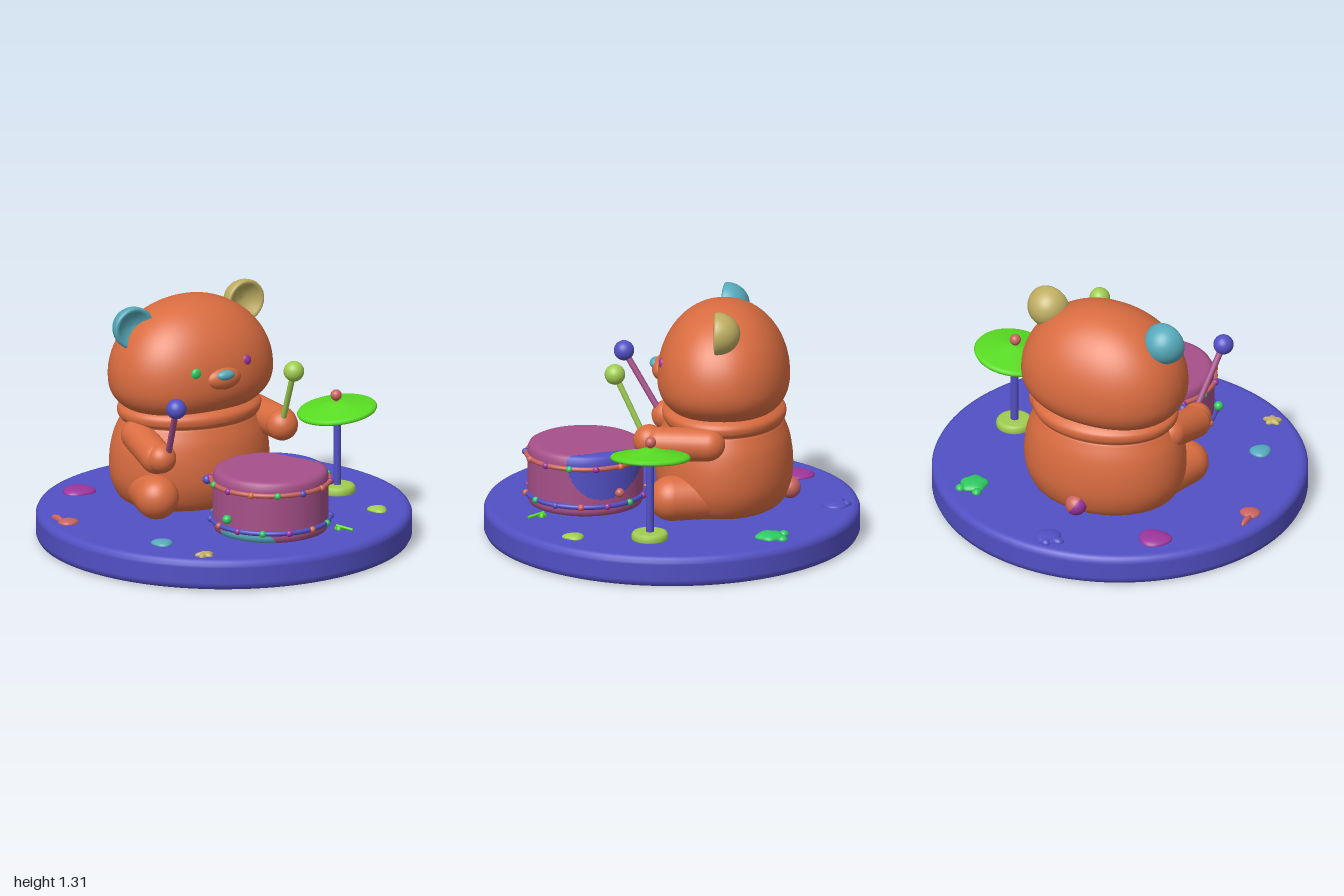
import * as THREE from 'three';

const colours = {
  orange: 0xd96c40, blue: 0x5250c4, plum: 0xa65089, cyan: 0x55a9ba, tan: 0xbfae62,
  leaf: 0x58dc22, emerald: 0x2fc862, magenta: 0x9c359c, coral: 0xc8635e, lime: 0xa0cc50,
};

export function createModel() {
  const model = new THREE.Group();
  const mats = {};
  for (const [name, color] of Object.entries(colours)) {
    mats[name] = new THREE.MeshStandardMaterial({ color });
    mats[name].name = name;
  }
  const V = (x, y, z) => new THREE.Vector3(x, y, z);

  function add(name, geo, mat, pos = [0, 0, 0], parent = model) {
    const m = new THREE.Mesh(geo, Array.isArray(mat) ? mat.map(k => mats[k]) : mats[mat]);
    m.name = name;
    m.position.set(...pos);
    parent.add(m);
    return m;
  }
  const ball = (name, mat, pos, rx, ry = rx, rz = rx, parent = model) =>
    add(name, new THREE.SphereGeometry(1, 28, 18).scale(rx, ry, rz), mat, pos, parent);
  const lathe = (pts, seg = 64) =>
    new THREE.LatheGeometry(pts.map(p => new THREE.Vector2(p[0], p[1])), seg);

  // Cylinder or capsule between two points
  function between(name, mat, a, b, r, round = false) {
    const len = a.distanceTo(b);
    const geo = round ? new THREE.CapsuleGeometry(r, len, 12, 28) : new THREE.CylinderGeometry(r, r, len, 16);
    const m = add(name, geo, mat);
    m.position.copy(a).lerp(b, 0.5);
    m.quaternion.setFromUnitVectors(V(0, 1, 0), b.clone().sub(a).normalize());
    return m;
  }

  // Round stage
  add('stage', lathe([[0, 0], [0.955, 0], [0.97, 0], [0.99, 0.008], [1, 0.028], [1, 0.04], [1, 0.125],
    [1, 0.137], [0.99, 0.157], [0.97, 0.165], [0.955, 0.165], [0, 0.165]], 96), 'blue');

  // Torso with a collar fold under the head
  const profile = new THREE.SplineCurve([[0.33, 0.16], [0.395, 0.2], [0.44, 0.3], [0.445, 0.42], [0.425, 0.53],
    [0.39, 0.61], [0.383, 0.625], [0.4, 0.65], [0.395, 0.69], [0.33, 0.73]].map(p => new THREE.Vector2(...p)));
  const torso = lathe([[0, 0.16], ...profile.getPoints(45).map(p => [p.x, p.y]), [0, 0.74]]);
  add('torso', torso.scale(1, 1, 0.82), 'orange', [-0.05, 0, -0.275]);

  // Head: a sphere with a high crown and fuller, flatter cheeks
  const head = new THREE.SphereGeometry(1, 64, 48);
  const p = head.attributes.position;
  const sp = (v, e) => Math.sign(v) * Math.abs(v) ** e;
  for (let i = 0; i < p.count; i++) {
    const x = p.getX(i), y = p.getY(i), z = p.getZ(i);
    const r = Math.hypot(x, z) || 1e-6;
    const ring = y < 0 ? r ** 0.68 : r;
    const h = y < 0 ? -0.225 * Math.abs(y) ** 0.85 : 0.405 * y;
    p.setXYZ(i, 0.457 * ring * sp(x / r, 0.92), h, 0.352 * ring * sp(z / r, 0.92));
  }
  head.computeVertexNormals();
  add('head', head, 'orange', [-0.045, 0.87, -0.272]).rotation.z = 0.045;

  // Face
  ball('muzzle', 'orange', [-0.04, 0.9, 0.06], 0.105, 0.062, 0.05);
  ball('nose', 'cyan', [-0.045, 0.925, 0.092], 0.053, 0.028, 0.03);
  ball('rightEye', 'emerald', [-0.2, 0.945, 0.047], 0.031, 0.031, 0.02);
  ball('leftEye', 'magenta', [0.11, 0.972, 0.042], 0.031, 0.031, 0.02);

  // Dished ears
  const earPts = [];
  for (let i = 0; i <= 14; i++) {
    const a = i / 14 * Math.PI / 2;
    earPts.push([0.115 * Math.sin(a), -0.125 * Math.cos(a)]);
  }
  earPts.push([0.112, 0.01], [0.102, 0.014], [0.09, 0.006], [0.06, -0.018], [0.03, -0.03], [0, -0.034]);
  for (const [name, mat, x, y, turn] of [['rightEar', 'cyan', -0.4, 1.15, -0.08], ['leftEar', 'tan', 0.29, 1.197, 0.04]]) {
    add(name, lathe(earPts, 40).rotateX(Math.PI / 2), mat, [x, y, -0.26]).rotation.y = turn;
  }

  // Limbs
  between('rightLeg', 'orange', V(-0.34, 0.275, -0.24), V(-0.405, 0.275, -0.02), 0.118, true);
  between('leftLeg', 'orange', V(0.24, 0.28, -0.24), V(0.3, 0.28, -0.02), 0.122, true);
  between('rightArm', 'orange', V(-0.405, 0.57, -0.22), V(-0.43, 0.51, 0.02), 0.088, true);
  between('leftArm', 'orange', V(0.33, 0.59, -0.22), V(0.325, 0.59, 0.04), 0.09, true);
  ball('rightPaw', 'orange', [-0.425, 0.515, 0.06], 0.08);
  ball('leftPaw', 'orange', [0.3, 0.6, 0.1], 0.085);

  // Two-coloured tail
  const tail = new THREE.Group();
  tail.name = 'tail';
  tail.position.set(-0.05, 0.245, -0.625);
  tail.rotation.z = 0.6;
  model.add(tail);
  for (const [mat, start] of [['magenta', Math.PI / 2 * 3], ['coral', Math.PI / 2]]) {
    add(mat + 'TailHalf', new THREE.SphereGeometry(0.058, 16, 16, start, Math.PI), mat, [0, 0, 0], tail);
  }

  // Drumsticks
  between('rightStick', 'plum', V(-0.395, 0.5, 0.07), V(-0.47, 0.855, 0.29), 0.017);
  ball('rightStickTip', 'blue', [-0.47, 0.855, 0.29], 0.054);
  between('leftStick', 'lime', V(0.285, 0.6, 0.12), V(0.262, 0.95, 0.285), 0.016);
  ball('leftStickTip', 'lime', [0.262, 0.95, 0.285], 0.055);

  // Drum shell, with painted patches chosen by face position
  const drum = new THREE.Group();
  drum.name = 'drum';
  drum.position.set(0.013, 0, 0.46);
  model.add(drum);
  const shell = [[0, 0.165], [0.28, 0.165], [0.3, 0.172], [0.308, 0.19]];
  for (let i = 1; i <= 28; i++) shell.push([0.308, 0.19 + i / 28 * 0.265]);
  shell.push([0.305, 0.475], [0.297, 0.49], [0.282, 0.498], [0.27, 0.5]);
  for (let i = 17; i >= 0; i--) shell.push([i * 0.015, 0.5]);
  const drumGeo = lathe(shell, 144);
  const faces = [[], [], []], dp = drumGeo.attributes.position, idx = drumGeo.index.array;
  for (let i = 0; i < idx.length; i += 3) {
    const tri = [idx[i], idx[i + 1], idx[i + 2]], c = V(0, 0, 0);
    tri.forEach(k => c.add(V(dp.getX(k), dp.getY(k), dp.getZ(k)).divideScalar(3)));
    const beyondLine = (c.x - 0.12) * 0.34 - (c.z + 0.28) * 0.16 > 0;
    const onSide = c.x > 0 && ((c.z + 0.12) / 0.2) ** 2 + ((c.y - 0.48) / 0.22) ** 2 < 1;
    const low = c.z > 0 && ((c.x + 0.23) / 0.1) ** 2 + ((c.y - 0.165) / 0.06) ** 2 < 1;
    faces[(c.y > 0.47 ? beyondLine : onSide) ? 1 : low ? 2 : 0].push(...tri);
  }
  drumGeo.setIndex(faces.flat());
  let start = 0;
  faces.forEach((f, i) => { drumGeo.addGroup(start, f.length, i); start += f.length; });
  add('drumShell', drumGeo, ['plum', 'blue', 'cyan'], [0, 0, 0], drum);

  // Drum hoops and beads
  const beadMats = ['emerald', 'magenta', 'coral', 'blue', 'emerald', 'orange', 'magenta'];
  [[0.435, 'coral', 0.2], [0.225, 'blue', 0.45]].forEach(([y, mat, offset], row) => {
    add('hoop', new THREE.TorusGeometry(0.314, 0.013, 10, 80).rotateX(Math.PI / 2), mat, [0, y, 0], drum);
    for (let i = 0; i < 14; i++) {
      const a = offset + i / 14 * Math.PI * 2;
      ball('hoopBead', beadMats[(i + row * 3) % 7], [0.32 * Math.cos(a), y, 0.32 * Math.sin(a)], 0.018, 0.018, 0.018, drum);
    }
  });
  ball('sideBead', 'emerald', [-0.325, 0.285, 0.09], 0.025, 0.025, 0.025, drum);
  ball('sideBead', 'coral', [0.245, 0.29, -0.2], 0.025, 0.025, 0.025, drum);
  ball('sideBead', 'blue', [-0.265, 0.42, -0.215], 0.025, 0.025, 0.025, drum);

  // Cymbal on its stand
  add('standFoot', lathe([[0, 0.16], [0.095, 0.16], [0.098, 0.17], [0.098, 0.19], [0.09, 0.203], [0.075, 0.206], [0, 0.206]], 40),
    'lime', [0.66, 0, 0.07]);
  between('standPole', 'blue', V(0.66, 0.19, 0.07), V(0.66, 0.63, 0.07), 0.021);
  const cymbal = add('cymbal', lathe([[0, -0.012], [0.1, -0.016], [0.195, -0.022], [0.21, -0.018], [0.215, -0.008],
    [0.208, 0.002], [0.19, 0.007], [0.1, 0.022], [0.05, 0.038], [0, 0.045]], 56), 'leaf', [0.66, 0.625, 0.067]);
  cymbal.rotation.z = 0.13;
  between('cymbalPin', 'coral', V(0.655, 0.64, 0.067), V(0.655, 0.7, 0.067), 0.012);
  ball('cymbalKnob', 'coral', [0.655, 0.7, 0.067], 0.03);

  // Low lumps on the stage: a flattened sphere with a wavy outline
  function lump(mat, x, z, rx, rz, n = 3, wave = 0.04, phase = 0, h = 0.022) {
    const geo = new THREE.SphereGeometry(1, 40, 16), q = geo.attributes.position;
    for (let i = 0; i < q.count; i++) {
      const s = 1 + wave * Math.cos(n * Math.atan2(q.getZ(i), q.getX(i)) + phase);
      q.setXYZ(i, q.getX(i) * s * rx, q.getY(i) * h, q.getZ(i) * s * rz);
    }
    geo.computeVertexNormals();
    add('stageLump', geo, mat, [x, 0.166, z]);
  }
  lump('magenta', -0.52, -0.635, 0.09, 0.082, 3, 0.07, -1.57, 0.03);
  lump('cyan', -0.63, 0.41, 0.056, 0.06, 3, 0.06, 0.6);
  lump('lime', 0.668, 0.475, 0.05, 0.058, 3, 0.1, 1.2);
  lump('tan', -0.55, 0.715, 0.046, 0.038, 5, 0.2, 0.4);
  // Animal-head lumps
  lump('blue', -0.005, -0.87, 0.068, 0.075);
  lump('blue', -0.07, -0.89, 0.035, 0.025);
  lump('blue', -0.02, -0.93, 0.028, 0.024);
  lump('emerald', 0.585, -0.565, 0.072, 0.078, 5, 0.07, 0, 0.03);
  for (const x of [0.535, 0.633]) lump('emerald', x, -0.635, 0.025, 0.028);
  // Note-shaped lump
  lump('coral', -0.86, -0.175, 0.056, 0.05);
  lump('coral', -0.877, -0.255, 0.017, 0.055);
  // Slim sprig by the drum
  lump('leaf', 0.31, 0.67, 0.022, 0.022, 3, 0.25);
  between('sprig', 'leaf', V(0.3, 0.185, 0.66), V(0.355, 0.172, 0.74), 0.008);
  return model;
}
